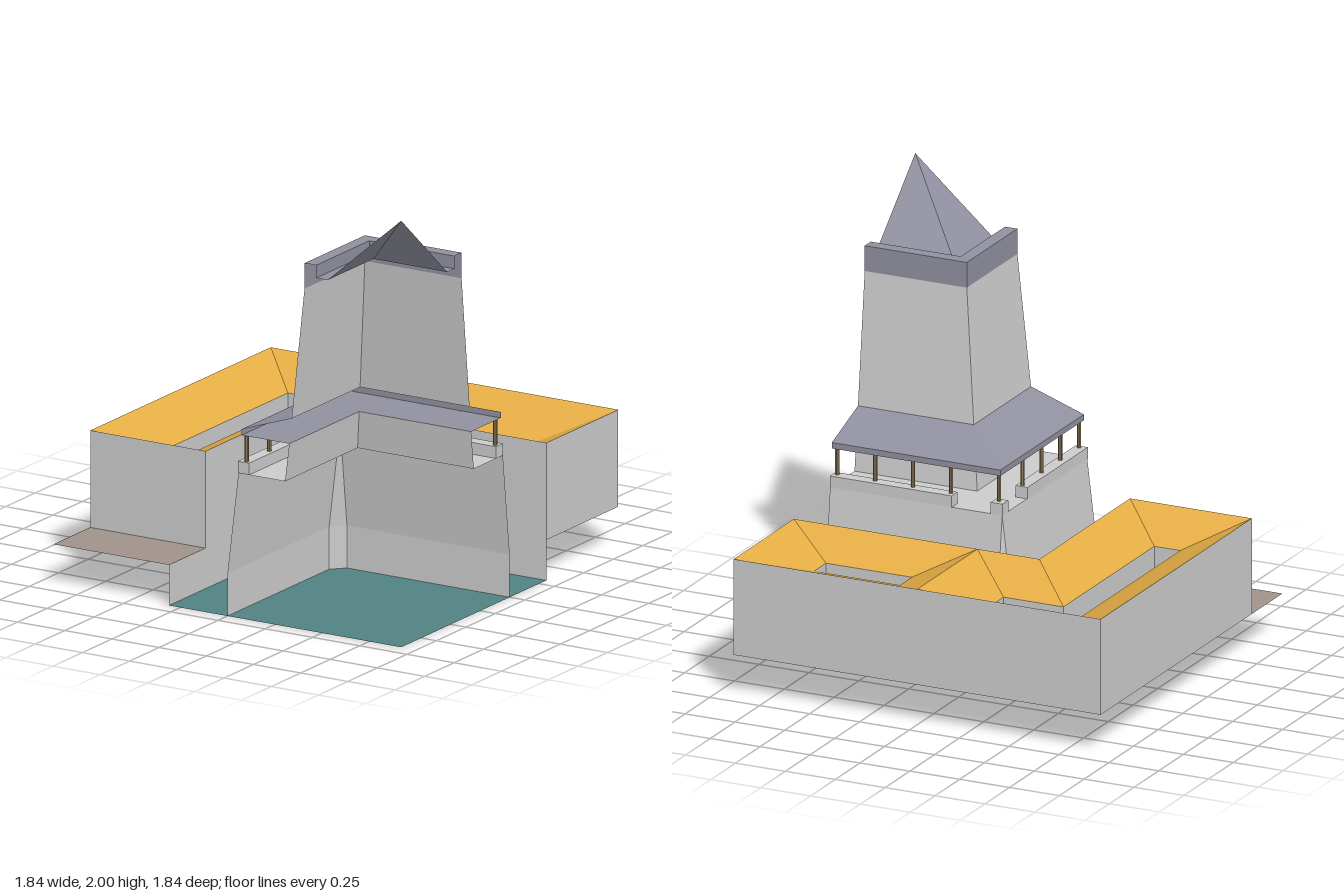
import * as THREE from 'three';

const END = 0.92;      // cut planes and outer limit of the block
const GROUND = 0.19;   // street level
const EAVE = 0.645;    // top of the house walls
const WELL = 0.53;     // lower rim of the inward-sloping roofs

const mat = (color) => new THREE.MeshStandardMaterial({ color, flatShading: true, side: THREE.DoubleSide });
const stone = mat(0xcccccc), gold = mat(0xe5ad45), slate = mat(0x9090a0);
const water = mat(0x528282), earth = mat(0x9f928a), wood = mat(0x8f7d5c);

// Surface through a series of matching loops of [x, y, z] points
function loft(loops, closed) {
  const pos = [];
  const v = (p) => new THREE.Vector3(...p);
  const tri = (a, b, c) => {
    if (new THREE.Triangle(v(a), v(b), v(c)).getArea() > 1e-7) pos.push(...a, ...b, ...c);
  };
  for (let i = 0; i + 1 < loops.length; i++) {
    const lo = loops[i], hi = loops[i + 1], n = lo.length;
    for (let j = 0; j < (closed ? n : n - 1); j++) {
      const k = (j + 1) % n;
      tri(lo[j], hi[j], lo[k]);
      tri(lo[k], hi[j], hi[k]);
    }
  }
  const g = new THREE.BufferGeometry();
  g.setAttribute('position', new THREE.Float32BufferAttribute(pos, 3));
  g.computeVertexNormals();
  return g;
}

const at = (points, y) => points.map(([x, z]) => [x, y, z]);

// Quarter of a square tower: profile of [inset, y] swept round one corner
const quarter = (profile) =>
  loft(profile.map(([d, y]) => at([[d, END], [d, d], [END, d]], y)), false);

export function createModel() {
  const root = new THREE.Group();
  const add = (parent, name, geometry, material) => {
    const m = new THREE.Mesh(geometry, material);
    m.name = name;
    parent.add(m);
    return m;
  };
  const group = (name) => {
    const g = new THREE.Group();
    g.name = name;
    root.add(g);
    return g;
  };
  const slab = (parent, name, x0, x1, z0, z1, y, material) => {
    const g = new THREE.PlaneGeometry(x1 - x0, z1 - z0).rotateX(-Math.PI / 2);
    add(parent, name, g.translate((x0 + x1) / 2, y, (z0 + z1) / 2), material);
  };
  const box = (parent, name, x0, x1, y0, y1, z0, z1, material) => {
    const g = new THREE.BoxGeometry(x1 - x0, y1 - y0, z1 - z0);
    add(parent, name, g.translate((x0 + x1) / 2, (y0 + y1) / 2, (z0 + z1) / 2), material);
  };

  // Moat and street
  const land = group('land');
  slab(land, 'moatFloor', -0.31, END, -0.31, END, 0, water);
  const bank = [[END, -0.31], [-0.31, -0.31], [-0.31, END]];
  add(land, 'moatWall', loft([at(bank, 0), at(bank, GROUND)], false), stone);
  slab(land, 'street', -END, -0.31, 0.61, END, GROUND, earth);

  // Houses with roofs falling inward to a light well
  const house = (name, outer, inner) => {
    const h = group(name);
    add(h, 'houseWalls', loft([at(outer, GROUND), at(outer, EAVE)], true), stone);
    add(h, 'houseRoof', loft([at(outer, EAVE), at(inner, WELL)], true), gold);
    add(h, 'wellWalls', loft([at(inner, WELL), at(inner, GROUND)], true), stone);
    return h;
  };
  const corner = house('cornerHouse',
    [[-END, -END], [0, -END], [0, -0.31], [-0.31, -0.31], [-0.31, 0.61], [-END, 0.61]],
    [[-0.68, -0.68], [-0.25, -0.68], [-0.25, -0.55], [-0.55, -0.55], [-0.55, 0.37], [-0.68, 0.37]]);
  slab(corner, 'houseFloor', -END, -0.31, -END, 0.61, GROUND, stone);
  slab(corner, 'houseFloor', -0.31, 0, -END, -0.31, GROUND, stone);
  const back = house('backHouse',
    [[0, -END], [END, -END], [END, -0.31], [0, -0.31]],
    [[0.24, -0.61], [0.67, -0.61], [0.67, -0.49], [0.24, -0.49]]);
  slab(back, 'houseFloor', 0, END, -END, -0.31, GROUND, stone);

  // Tower base: chamfered corner that tapers away to a point
  const tower = group('tower');
  const foot = [[0, END], [0, 0.058], [0.058, 0], [END, 0]];
  const head = [[0.058, END], [0.058, 0.058], [0.058, 0.058], [END, 0.058]];
  add(tower, 'towerBase', loft([at(foot, 0), at(foot, 0.2), at(head, 0.68)], false), stone);
  add(tower, 'gallery', quarter([[0.058, 0.68], [0.305, 0.68]]), stone);
  add(tower, 'lowerShaft', quarter([[0.305, 0.68], [0.327, 0.86]]), stone);

  // Parapet: a corner block and one run along each side
  const P0 = 0.055, P1 = 0.115, PY = 0.735;
  box(tower, 'parapetCorner', P0, P1, 0.68, PY, P0, P1, stone);
  box(tower, 'parapet', 0.31, END, 0.68, PY, P0, P1, stone);
  box(tower, 'parapet', P0, P1, 0.68, PY, 0.31, END, stone);

  // Posts under the gallery roof
  const post = (x, z) => add(tower, 'post',
    new THREE.CylinderGeometry(0.01, 0.01, 0.125, 8).translate(x, 0.7975, z), wood);
  post(0.09, 0.09);
  for (const d of [0.33, 0.52, 0.71, 0.9]) {
    post(d, 0.09);
    post(0.09, d);
  }

  // Skirt roof, upper shaft, crown and spire
  add(tower, 'galleryRoof', quarter([[0.327, 0.86], [0.075, 0.86], [0.075, 0.888], [0.34, 0.98]]), slate);
  add(tower, 'upperShaft', quarter([[0.34, 0.98], [0.408, 1.6]]), stone);
  add(tower, 'crown', quarter([[0.408, 1.6], [0.408, 1.72], [0.47, 1.72], [0.47, 1.66], [0.53, 1.66]]), slate);
  add(tower, 'spire', quarter([[0.53, 1.66], [END, 2]]), slate);

  return root;
}
